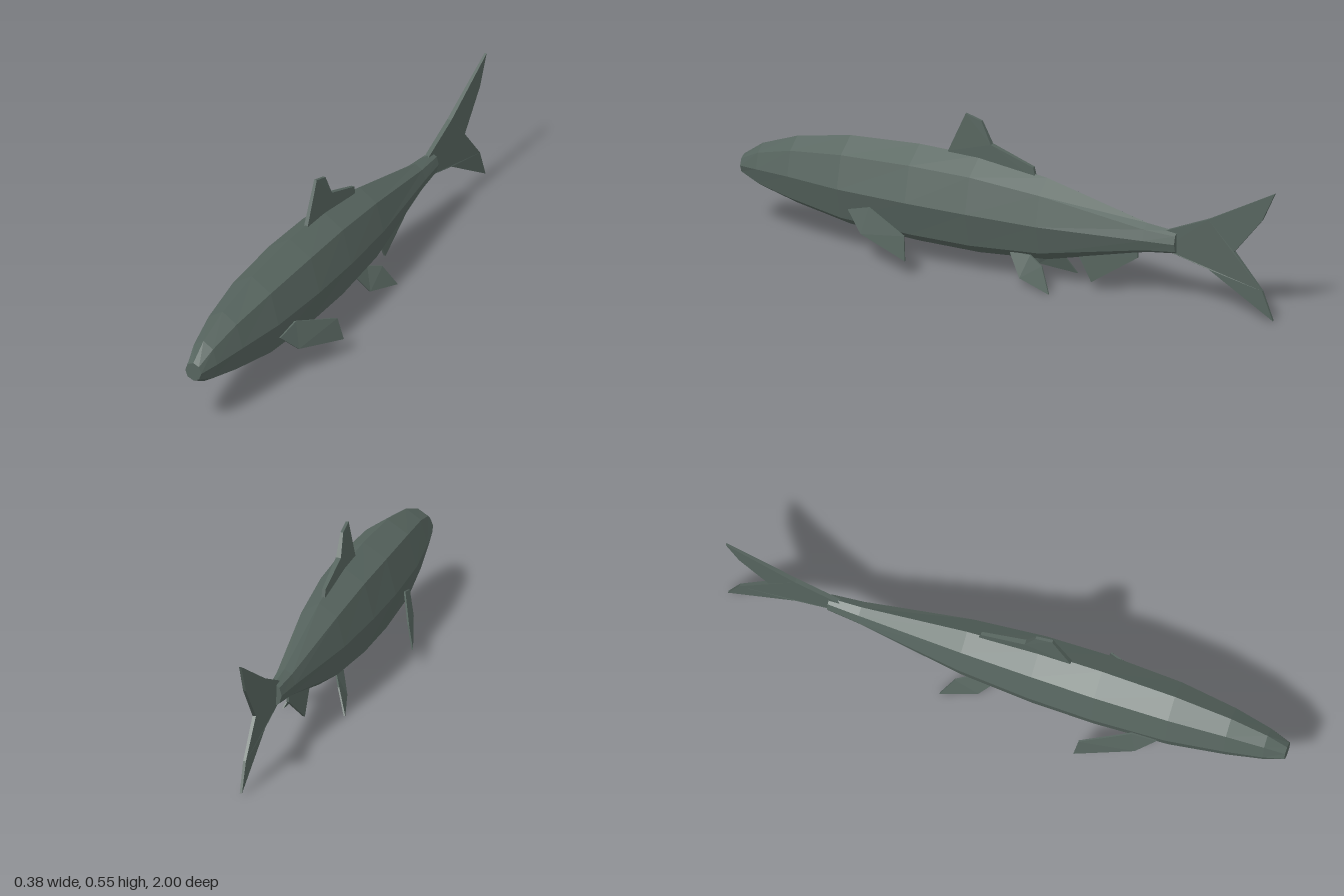
import * as THREE from 'three';

const skin = new THREE.MeshStandardMaterial({ color: 0x56645e, flatShading: true });
skin.name = 'grey green skin';

function makeMesh(name, positions, index) {
  let g = new THREE.BufferGeometry();
  g.setAttribute('position', new THREE.Float32BufferAttribute(positions, 3));
  g.setIndex(index);
  g = g.toNonIndexed();
  g.computeVertexNormals();
  const mesh = new THREE.Mesh(g, skin);
  mesh.name = name;
  return mesh;
}

// Eight-sided body lofted through stations: z, top, bottom, half width
function body() {
  const stations = [
    [1.0, 0.26, 0.193, 0.031], [0.93, 0.311, 0.155, 0.052], [0.8, 0.36, 0.118, 0.077],
    [0.6, 0.398, 0.077, 0.104], [0.34, 0.413, 0.062, 0.115], [0.115, 0.409, 0.06, 0.11],
    [-0.14, 0.375, 0.08, 0.09], [-0.517, 0.279, 0.174, 0.038], [-0.63, 0.268, 0.188, 0.027],
  ];
  const n = 8, p = [], idx = [];
  for (const [z, top, bottom, w] of stations) {
    for (let i = 0; i < n; i++) {
      const a = (i / n) * Math.PI * 2;
      p.push(w * Math.cos(a), (top + bottom) / 2 + ((top - bottom) / 2) * Math.sin(a), z);
    }
  }
  for (let s = 0; s < stations.length - 1; s++) {
    for (let i = 0; i < n; i++) {
      const a = s * n + i, b = s * n + ((i + 1) % n);
      idx.push(a, b + n, b, a, a + n, b + n);
    }
  }
  // Flat snout and tail root
  const last = (stations.length - 1) * n;
  for (let i = 1; i < n - 1; i++) idx.push(0, i, i + 1, last, last + i + 1, last + i);
  return makeMesh('body', p, idx);
}

// Thin fin from outline points [x, y, z, half thickness]
function fin(name, outline) {
  let pts = outline;
  const flat = (list) => list.map(([, y, z]) => new THREE.Vector2(-z, y));
  if (THREE.ShapeUtils.area(flat(pts)) < 0) pts = [...pts].reverse();
  const n = pts.length, p = [], idx = [];
  for (const side of [1, -1]) for (const [x, y, z, t] of pts) p.push(x + side * t, y, z);
  for (const [a, b, c] of THREE.ShapeUtils.triangulateShape(flat(pts), [])) {
    idx.push(a, b, c, a + n, c + n, b + n);
  }
  for (let i = 0; i < n; i++) {
    const j = (i + 1) % n;
    idx.push(i, i + n, j, j, i + n, j + n);
  }
  return makeMesh(name, p, idx);
}

export function createModel() {
  const fish = new THREE.Group();
  fish.name = 'fish';
  fish.add(body());

  // Fins on the centre line
  fish.add(fin('dorsalFin', [
    [0, 0.39, 0.235, 0.007], [0, 0.41, 0.23, 0.007], [0, 0.555, 0.165, 0.005],
    [0, 0.538, 0.105, 0.005], [0, 0.46, 0.068, 0.009], [0, 0.405, -0.09, 0.006], [0, 0.36, -0.1, 0.006],
  ]));
  fish.add(fin('tailFin', [
    [0, 0.262, -0.58, 0.008], [0, 0.275, -0.61, 0.008], [0, 0.335, -0.75, 0.008],
    [0, 0.47, -0.998, 0.004], [0, 0.365, -0.95, 0.005], [0, 0.234, -0.845, 0.006],
    [0, 0.11, -0.95, 0.005], [0, 0.008, -0.99, 0.004], [0, 0.155, -0.75, 0.008],
    [0, 0.188, -0.62, 0.008], [0, 0.2, -0.58, 0.008],
  ]));
  fish.add(fin('analFin', [
    [0, 0.13, -0.255, 0.005], [0, 0.11, -0.263, 0.005], [0, 0.028, -0.307, 0.004],
    [0, 0.147, -0.482, 0.004], [0, 0.18, -0.482, 0.004],
  ]));

  // Paired fins, mirrored across x
  const pectoral = [
    [0.088, 0.167, 0.565], [0.1, 0.193, 0.48], [0.167, 0.142, 0.315],
    [0.185, 0.06, 0.303], [0.123, 0.102, 0.5],
  ];
  const pelvic = [
    [0.043, 0.105, -0.02], [0.047, 0.105, -0.1], [0.074, 0.084, -0.157],
    [0.109, 0.002, -0.2], [0.075, 0.027, -0.073],
  ];
  for (const [side, label] of [[1, 'left'], [-1, 'right']]) {
    const mirror = (list) => list.map(([x, y, z]) => [side * x, y, z, 0.003]);
    fish.add(fin(label + 'PectoralFin', mirror(pectoral)));
    fish.add(fin(label + 'PelvicFin', mirror(pelvic)));
  }
  return fish;
}
